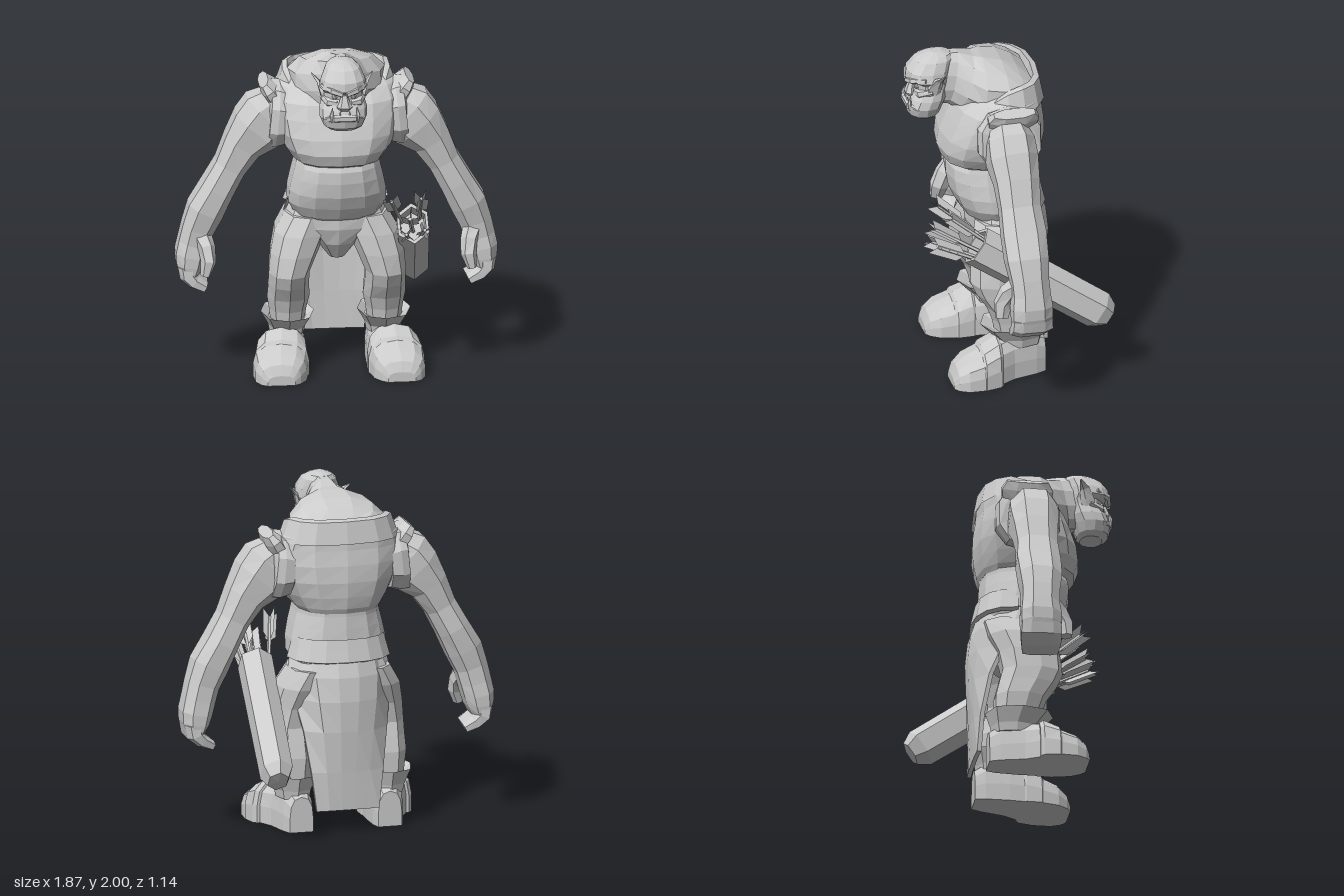
import * as THREE from 'three';

const V = (x, y, z) => new THREE.Vector3(x, y, z);
const TAU = Math.PI * 2;
const pw = (v, p) => Math.sign(v) * Math.abs(v) ** (2 / p);

// surface from a rule f(row, column); optional flat ends for closed rings
function grid(rows, cols, f, capped = false) {
  const a = [], tri = (...p) => p.forEach(q => a.push(q.x, q.y, q.z));
  for (let r = 0; r < rows; r++) for (let c = 0; c < cols; c++) {
    const A = f(r, c), B = f(r, c + 1), C = f(r + 1, c + 1), D = f(r + 1, c);
    tri(A, B, C); tri(A, C, D);
  }
  if (capped) for (const r of [0, rows]) {
    const mid = V(0, 0, 0);
    for (let c = 0; c < cols; c++) mid.addScaledVector(f(r, c), 1 / cols);
    for (let c = 0; c < cols; c++) r ? tri(mid, f(r, c), f(r, c + 1)) : tri(mid, f(r, c + 1), f(r, c));
  }
  const g = new THREE.BufferGeometry();
  g.setAttribute('position', new THREE.Float32BufferAttribute(a, 3));
  g.computeVertexNormals();
  return g;
}

// upright body from sections [y, centreX, halfWidth, zFront, zBack]
const stack = (s, n = 12, p = 2.4) => grid(s.length - 1, n, (r, c) => {
  const [y, cx, hw, zf, zb] = s[r], t = c % n / n * TAU;
  return V(cx + hw * pw(Math.sin(t), p), y, (zf + zb) / 2 + (zf - zb) / 2 * pw(Math.cos(t), p));
}, true);

// limb along a path from sections [x, y, z, radiusU, radiusV]; radiusV lies along ref
function limb(s, ref, n = 8, p = 2.3) {
  const pts = s.map(q => V(q[0], q[1], q[2]));
  const frames = pts.map((c, i) => {
    const T = pts[Math.min(i + 1, pts.length - 1)].clone().sub(pts[Math.max(i - 1, 0)]).normalize();
    const W = ref.clone().addScaledVector(T, -ref.dot(T)).normalize();
    return [T.clone().cross(W), W];
  });
  return grid(s.length - 1, n, (r, c) => {
    const t = (c % n + 0.5) / n * TAU;
    return pts[r].clone().addScaledVector(frames[r][0], s[r][3] * pw(Math.sin(t), p))
      .addScaledVector(frames[r][1], s[r][4] * pw(Math.cos(t), p));
  }, true);
}

// mirrored copy with corner order restored
function mirror(g) {
  const m = (g.index ? g.toNonIndexed() : g.clone()), p = m.attributes.position;
  for (let i = 0; i < p.count; i += 3) {
    const q = [0, 2, 1].map(k => V(-p.getX(i + k), p.getY(i + k), p.getZ(i + k)));
    q.forEach((v, k) => p.setXYZ(i + k, v.x, v.y, v.z));
  }
  m.computeVertexNormals();
  return m;
}

export function createModel() {
  const model = new THREE.Group();
  model.name = 'brute';
  const clay = new THREE.MeshStandardMaterial({ color: 0xcccccc, flatShading: true, side: THREE.DoubleSide });
  clay.name = 'light grey';
  const add = (name, g, parent = model) => {
    const m = new THREE.Mesh(g, clay);
    m.name = name;
    parent.add(m);
    return m;
  };
  const pair = (name, g) => { add(name + 'Left', g); add(name + 'Right', mirror(g)); };
  const Y = V(0, 1, 0), Z = V(0, 0, 1);

  // torso
  add('pelvis', stack([[0.68, 0, 0.05, 0.1, -0.06], [0.78, 0, 0.13, 0.17, -0.18],
    [0.88, 0, 0.25, 0.2, -0.23], [0.95, 0, 0.29, 0.2, -0.235], [0.99, 0, 0.27, 0.19, -0.22]]));
  add('belly', stack([[0.92, 0, 0.2, 0.17, -0.21], [0.96, 0, 0.255, 0.225, -0.22], [1.03, 0, 0.29, 0.265, -0.225],
    [1.11, 0, 0.287, 0.3, -0.22], [1.2, 0, 0.268, 0.315, -0.215], [1.27, 0, 0.25, 0.315, -0.21],
    [1.34, 0, 0.24, 0.28, -0.21]], 14));
  add('chest', stack([[1.29, 0, 0.235, 0.28, -0.21], [1.32, 0, 0.265, 0.345, -0.225], [1.39, 0, 0.31, 0.37, -0.24],
    [1.48, 0, 0.35, 0.355, -0.25], [1.58, 0, 0.37, 0.315, -0.245], [1.67, 0, 0.37, 0.275, -0.23],
    [1.74, 0, 0.35, 0.2, -0.225], [1.79, 0, 0.3, 0.11, -0.2]], 14, 2.5));
  // vest hem flaring round the back
  add('vestHem', grid(3, 8, (r, c) => {
    const t = Math.PI * (0.52 + 0.96 * c / 8), k = [0.272, 0.288, 0.308, 0.28][r];
    return V(k * pw(Math.sin(t), 2.4), [1.14, 1.08, 1.01, 1][r], k * 0.85 * pw(Math.cos(t), 2.4));
  }));
  // standing collar open at the front
  add('collar', grid(3, 10, (r, c) => {
    const t = Math.PI * (0.32 + 1.36 * c / 10), s = Math.sin(t), z = Math.cos(t), front = Math.max(0, z);
    const w = [0.36, 0.315, 0.285, 0.26][r];
    return V(w * pw(s, 2.8), [1.71, 1.84, 1.85, 1.78][r] - 0.16 * front, -0.01 + [0.235, 0.21, 0.175, 0.155][r] * z);
  }));

  // sloping neck and head
  add('neck', limb([[0, 1.8, -0.165, 0.2, 0.04], [0, 1.78, -0.1, 0.27, 0.115], [0, 1.775, 0, 0.295, 0.16],
    [0, 1.775, 0.13, 0.255, 0.185], [0, 1.795, 0.21, 0.17, 0.175], [0, 1.82, 0.28, 0.105, 0.17],
    [0, 1.83, 0.4, 0.085, 0.165]], Y, 12, 2.1));
  add('head', stack([[1.6, 0, 0.08, 0.51, 0.38], [1.625, 0, 0.115, 0.545, 0.36], [1.68, 0, 0.138, 0.56, 0.34],
    [1.73, 0, 0.138, 0.54, 0.32], [1.79, 0, 0.12, 0.505, 0.31], [1.825, 0, 0.122, 0.51, 0.3],
    [1.85, 0, 0.138, 0.555, 0.3], [1.9, 0, 0.128, 0.55, 0.29], [1.96, 0, 0.1, 0.505, 0.28],
    [1.985, 0, 0.07, 0.455, 0.29], [2, 0, 0.03, 0.41, 0.34]], 12, 2.3));
  add('nose', limb([[0, 1.82, 0.515, 0.02, 0.02], [0, 1.78, 0.525, 0.032, 0.025], [0, 1.755, 0.53, 0.046, 0.03],
    [0, 1.735, 0.52, 0.038, 0.02]], Z, 6));
  add('lowerLip', limb([[-0.11, 1.675, 0.49, 0.02, 0.02], [-0.06, 1.69, 0.55, 0.022, 0.016],
    [0.06, 1.69, 0.55, 0.022, 0.016], [0.11, 1.675, 0.49, 0.02, 0.02]], Z, 6));
  pair('brow', limb([[0.01, 1.835, 0.545, 0.017, 0.02], [0.07, 1.855, 0.53, 0.022, 0.022],
    [0.125, 1.87, 0.46, 0.012, 0.015]], Z, 6));
  pair('cheek', limb([[0.04, 1.77, 0.505, 0.015, 0.015], [0.085, 1.77, 0.49, 0.025, 0.025],
    [0.12, 1.79, 0.42, 0.02, 0.015]], Z, 6));
  pair('eye', new THREE.IcosahedronGeometry(0.018, 0).translate(0.055, 1.807, 0.498));
  pair('tusk', limb([[0.07, 1.67, 0.54, 0.014, 0.014], [0.078, 1.71, 0.55, 0.012, 0.012],
    [0.07, 1.755, 0.54, 0.002, 0.002]], Z, 5));
  pair('tooth', new THREE.ConeGeometry(0.01, 0.035, 4).translate(0.028, 1.715, 0.548));
  pair('ear', limb([[0.105, 1.74, 0.42, 0.012, 0.03], [0.12, 1.81, 0.41, 0.015, 0.045],
    [0.14, 1.87, 0.39, 0.012, 0.03], [0.178, 1.91, 0.36, 0.003, 0.006]], Z, 5));

  // armhole rims, shoulder flaps and arms
  pair('armhole', limb([[0.29, 1.55, 0.02, 0.18, 0.19], [0.35, 1.555, 0.02, 0.205, 0.195],
    [0.395, 1.56, 0.02, 0.205, 0.18], [0.4, 1.56, 0.02, 0.16, 0.14]], Z, 10));
  pair('shoulderFlap', limb([[0.36, 1.66, 0.01, 0.06, 0.15], [0.395, 1.715, 0.01, 0.055, 0.16],
    [0.425, 1.755, 0.01, 0.035, 0.13]], Z, 8));
  pair('arm', limb([[0.35, 1.59, 0.035, 0.15, 0.12], [0.4, 1.55, 0.035, 0.18, 0.145],
    [0.465, 1.475, 0.035, 0.168, 0.15], [0.55, 1.375, 0.03, 0.122, 0.135], [0.62, 1.245, 0.03, 0.098, 0.125],
    [0.693, 1.11, 0.025, 0.102, 0.135], [0.762, 0.98, 0.025, 0.112, 0.13], [0.805, 0.87, 0.02, 0.1, 0.115],
    [0.828, 0.78, 0.015, 0.097, 0.115], [0.845, 0.71, 0.015, 0.095, 0.125], [0.852, 0.65, 0.015, 0.083, 0.125],
    [0.857, 0.6, 0.015, 0.062, 0.12]], Z, 8, 2.5));
  pair('fingers', limb([[0.87, 0.65, 0.015, 0.058, 0.12], [0.865, 0.59, 0.015, 0.052, 0.125],
    [0.825, 0.55, 0.02, 0.042, 0.122], [0.76, 0.515, 0.025, 0.03, 0.11]], Z, 8, 3));
  pair('thumb', limb([[0.79, 0.84, 0.06, 0.06, 0.06], [0.76, 0.77, 0.13, 0.05, 0.06],
    [0.755, 0.7, 0.165, 0.045, 0.055], [0.775, 0.62, 0.175, 0.028, 0.04]], Z, 6));

  // legs, cuffs and boots
  pair('leg', stack([[0.2, 0.28, 0.09, 0.08, -0.17], [0.35, 0.28, 0.11, 0.11, -0.17], [0.43, 0.278, 0.125, 0.14, -0.17],
    [0.52, 0.28, 0.12, 0.2, -0.15], [0.6, 0.28, 0.12, 0.235, -0.13], [0.72, 0.25, 0.14, 0.23, -0.15],
    [0.84, 0.21, 0.155, 0.21, -0.2], [0.95, 0.16, 0.14, 0.18, -0.22]], 9));
  pair('cuff', stack([[0.19, 0.28, 0.1, 0.09, -0.18], [0.24, 0.28, 0.11, 0.1, -0.19], [0.325, 0.28, 0.155, 0.18, -0.22],
    [0.29, 0.28, 0.11, 0.11, -0.18]], 8));
  // footwear from sections [z, centreX, halfWidth, top], flat on the ground
  const shoe = s => grid(s.length - 1, 12, (r, c) => {
    const [z, cx, hw, top] = s[r], t = (12 - c % 12) / 12 * TAU, low = Math.cos(t) < -0.1;
    return V(cx + hw * (low ? Math.sign(Math.round(Math.sin(t) * 9)) : pw(Math.sin(t), 2.6)),
      low ? 0 : top * (0.4 + 0.6 * pw(Math.cos(t), 2.2)), z);
  }, true);
  pair('boot', shoe([[-0.2, 0.265, 0.07, 0.21], [-0.14, 0.27, 0.09, 0.25], [0, 0.285, 0.11, 0.26],
    [0.1, 0.315, 0.135, 0.25], [0.2, 0.338, 0.158, 0.2], [0.29, 0.345, 0.148, 0.165], [0.345, 0.35, 0.115, 0.12],
    [0.37, 0.35, 0.08, 0.06]]));
  pair('toeBand', shoe([[0.08, 0.32, 0.135, 0.255], [0.1, 0.325, 0.152, 0.265], [0.19, 0.335, 0.163, 0.22],
    [0.21, 0.337, 0.15, 0.19]]));

  // long cloth hanging behind, with a thin closed section
  const drop = [[1.03, 0.28, -0.235, 0.22], [0.92, 0.305, -0.27, 0.22], [0.78, 0.285, -0.285, 0.17],
    [0.6, 0.25, -0.28, 0.09], [0.36, 0.215, -0.265, 0.03], [0.13, 0.187, -0.255, 0.005]];
  add('backCloth', grid(5, 12, (r, c) => {
    const [y, hw, z, wrap] = drop[5 - r], i = c % 12, u = i < 6 ? 1 - i / 2.5 : (i - 6) / 2.5 - 1;
    return V(hw * u, y, z + wrap * Math.abs(u) ** 3 + (i < 6 ? 0.025 : 0));
  }, true));

  // quiver slung at the left hip
  const quiver = new THREE.Group();
  quiver.name = 'quiver';
  quiver.position.set(0.495, 0.42, -0.505);
  quiver.quaternion.setFromUnitVectors(Y, V(-0.07, 0.5, 0.74).normalize());
  model.add(quiver);
  const profile = [[0, -0.035], [0.075, -0.03], [0.116, 0.04], [0.122, 0.9], [0.1, 0.9], [0.09, 0.8], [0, 0.8]];
  const tube = new THREE.LatheGeometry(profile.map(p => new THREE.Vector2(...p)), 6);
  add('quiverCase', tube.scale(0.85, 1, 1), quiver);
  // arrows with broad notched crossed feathers
  const feather = new THREE.ShapeGeometry(new THREE.Shape([[0, 0], [0.045, 0.05], [0.05, 0.23], [0, 0.18],
    [-0.05, 0.23], [-0.045, 0.05]].map(p => new THREE.Vector2(...p))));
  [[-0.06, -0.04, -0.15, -0.08, 0.43], [0.04, -0.05, 0.05, -0.1, 0.38], [0, 0.02, -0.06, 0.05, 0.4],
    [0.04, 0.05, 0.06, 0.16, 0.36], [-0.03, 0.06, -0.06, 0.18, 0.37]].forEach(([x, z, dx, dz, len], i) => {
    const arrow = new THREE.Group();
    arrow.name = 'arrow' + (i + 1);
    arrow.position.set(x, 0.8, z);
    arrow.quaternion.setFromUnitVectors(Y, V(dx, 1, dz).normalize());
    add('shaft', new THREE.CylinderGeometry(0.012, 0.012, len - 0.04, 5).translate(0, len / 2 - 0.02, 0), arrow);
    for (const k of [0, 1]) {
      const f = add('feather', feather, arrow);
      f.position.y = len - 0.22;
      f.rotation.y = 0.4 + i * 0.5 + k * Math.PI / 2;
    }
    quiver.add(arrow);
  });
  return model;
}
